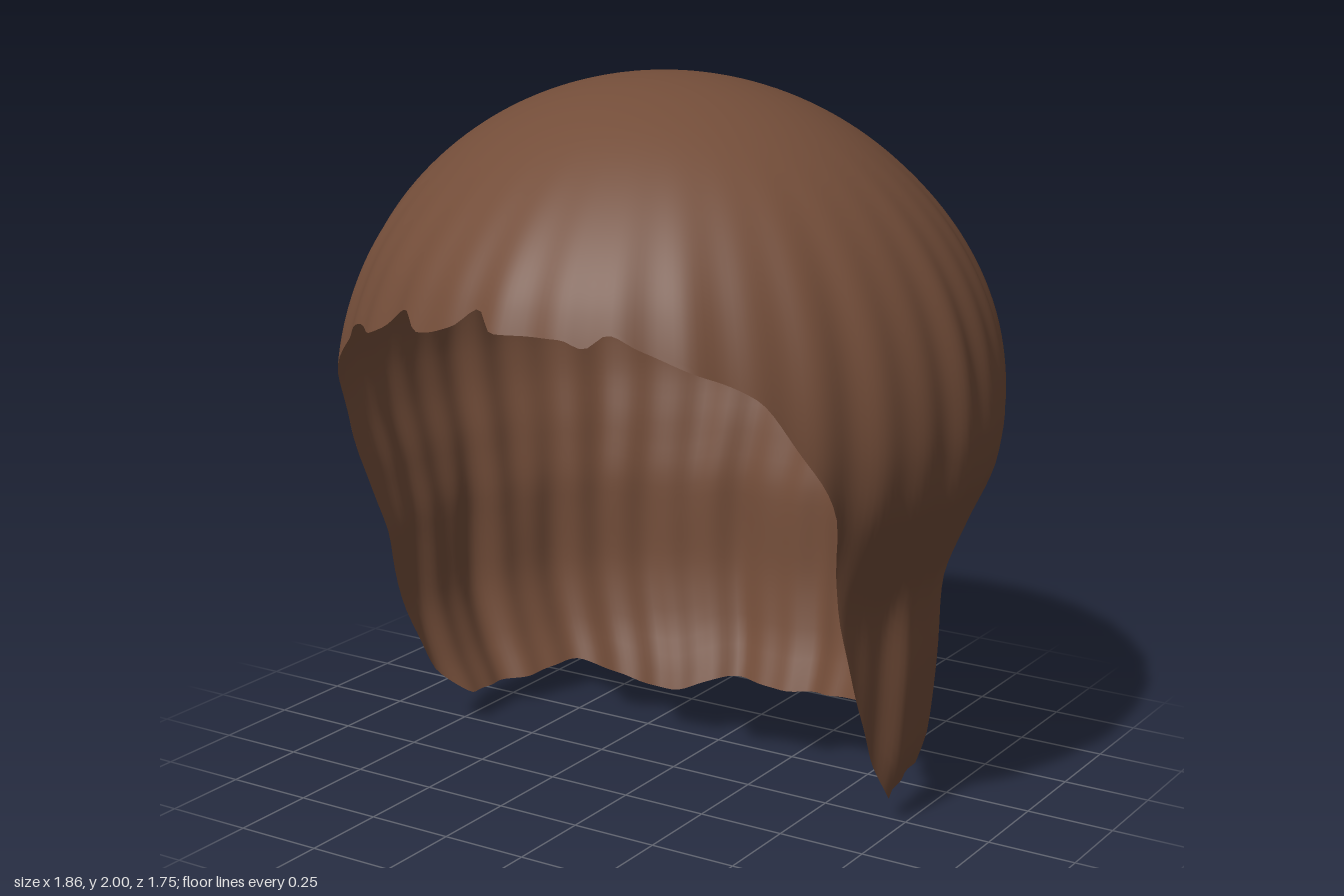
import * as THREE from 'three';

const COLS = 288, ROWS = 72;
const RX = 0.925, RZ = 0.87, EQUATOR = 1.12, TOP = 2;

// Height of the lower edge by angle in degrees (0 = front, 90 = +x, 180 = back)
const HEM = [
  [-90, 0.09], [-82, 0.17], [-75, 0.35], [-68, 0.6], [-62.5, 0.8], [-58, 1.0], [-52, 1.17], [-45, 1.3],
  [-36, 1.37], [-31, 1.365], [-27, 1.385], [-19, 1.455], [-15, 1.41], [-7, 1.44], [-2, 1.49], [2, 1.44],
  [14, 1.44], [18, 1.42], [22, 1.455], [27, 1.42], [35, 1.37], [45, 1.3], [52, 1.15], [58, 1.0],
  [62.5, 0.8], [68, 0.58], [75, 0.35], [82, 0.17], [90, 0.06], [107, 0.09], [122, 0.08], [135, 0.14],
  [150, 0.08], [165, 0.055], [180, 0.035], [195, 0.045], [211, 0], [225, 0.05], [236, 0.1], [255, 0.08], [270, 0.09],
];

// Relative girth by height below the widest level
const GIRTH = [
  [-0.1, 0.7], [0, 0.725], [0.08, 0.76], [0.2, 0.815], [0.4, 0.855], [0.62, 0.865],
  [0.8, 0.915], [1.0, 0.985], [1.12, 1],
];

// Monotone cubic interpolation through [x, y] pairs
function sample(table, x) {
  let i = 0;
  while (i < table.length - 2 && x > table[i + 1][0]) i++;
  const slope = k => {
    if (k < 0 || k > table.length - 2) return 0;
    return (table[k + 1][1] - table[k][1]) / (table[k + 1][0] - table[k][0]);
  };
  const tangent = k => {
    const a = slope(k - 1), b = slope(k);
    return a * b <= 0 ? 0 : (2 * a * b) / (a + b);
  };
  const [x0, y0] = table[i], [x1, y1] = table[i + 1];
  const h = x1 - x0, t = THREE.MathUtils.clamp((x - x0) / h, 0, 1), t2 = t * t, t3 = t2 * t;
  return (2 * t3 - 3 * t2 + 1) * y0 + (t3 - 2 * t2 + t) * h * tangent(i)
    + (3 * t2 - 2 * t3) * y1 + (t3 - t2) * h * tangent(i + 1);
}

const smooth = THREE.MathUtils.smoothstep;

// Point on the hair shell at an angle and height
function hairPoint(angle, y) {
  const c = Math.cos(angle), s = Math.sin(angle);
  const k = (y - EQUATOR) / (TOP - EQUATOR);
  let r = y > EQUATOR ? Math.sqrt(Math.max(0, 1 - k * k)) : sample(GIRTH, y);

  // Fine strands fan out from the crown; deeper folds hang at the neck
  const strands = 0.006 * Math.sin(34 * angle) + 0.004 * Math.sin(21 * angle + 1);
  const folds = 0.009 * Math.sin(17 * angle + 0.6) + 0.006 * Math.sin(11 * angle + 2);
  r += strands * smooth(TOP - y, 0.1, 0.7) + folds * (1 - smooth(y, 0.45, 0.85));

  // Forward swell over the brow and a slight lean of the neck hair
  const brow = c > 0 ? 0.07 * c * c * smooth(TOP - y, 0.05, 0.5) : 0;
  const lean = -0.04 * (1 - smooth(y, 0.55, 1)) * smooth(y, 0, 0.4) - 0.005;
  return [RX * r * s + lean, y, RZ * r * c * (1 + brow) + 0.03 * smooth(y, 1.3, 2)];
}

function hairGeometry() {
  const positions = [...hairPoint(0, TOP)], index = [];
  for (let j = 1; j <= ROWS; j++) {
    const t = j / ROWS;
    for (let i = 0; i < COLS; i++) {
      const deg = -90 + (360 * i) / COLS;
      const y = TOP - (TOP - sample(HEM, deg)) * Math.pow(t, 1.7);
      positions.push(...hairPoint(THREE.MathUtils.degToRad(deg), y));
    }
  }
  const at = (j, i) => (j === 0 ? 0 : 1 + (j - 1) * COLS + (i % COLS));
  for (let j = 0; j < ROWS; j++) {
    for (let i = 0; i < COLS; i++) {
      const a = at(j, i), b = at(j + 1, i), c = at(j + 1, i + 1), d = at(j, i + 1);
      index.push(a, b, c);
      if (j > 0) index.push(a, c, d);
    }
  }
  const geometry = new THREE.BufferGeometry();
  geometry.setAttribute('position', new THREE.Float32BufferAttribute(positions, 3));
  geometry.setIndex(index);
  geometry.computeVertexNormals();
  return geometry;
}

export function createModel() {
  const group = new THREE.Group();
  group.name = 'hair';
  const brown = new THREE.MeshStandardMaterial({ color: 0x734d39, side: THREE.DoubleSide });
  brown.name = 'chestnut brown';
  const shell = new THREE.Mesh(hairGeometry(), brown);
  shell.name = 'hairShell';
  group.add(shell);
  return group;
}
